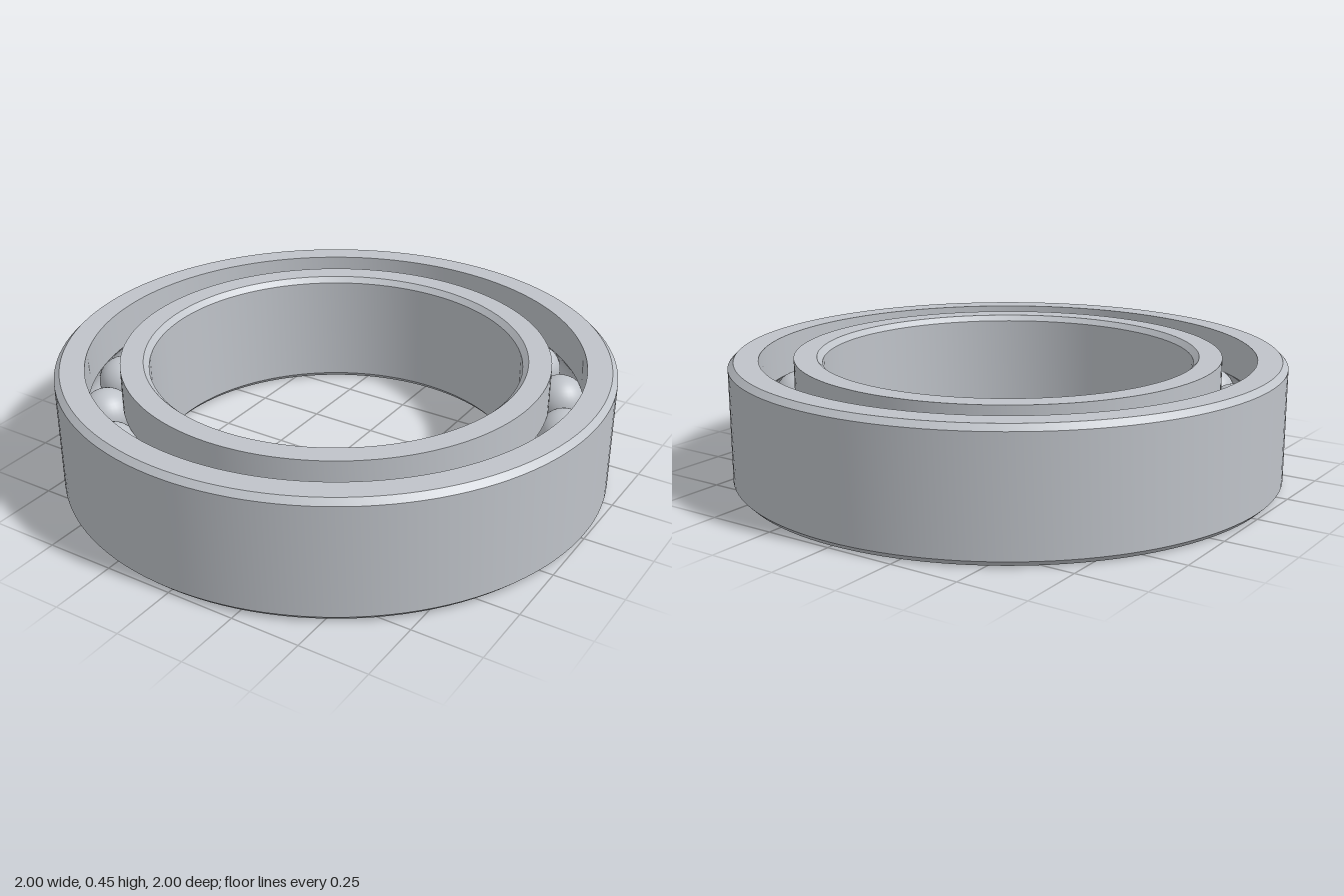
import * as THREE from 'three';
import { toCreasedNormals } from 'three/addons/utils/BufferGeometryUtils.js';

const HEIGHT = 0.446, MID = HEIGHT / 2;
const PITCH = 0.832, BALL_R = 0.093, BALLS = 20;
const OUTER_R = 1, OUTER_SHOULDER = 0.893, INNER_SHOULDER = 0.77, BORE_R = 0.668;
const CHAMFER = 0.02;

// Revolves a closed counterclockwise profile with crisp edges
function ring(name, points, material) {
  const profile = [...points, points[0]].map(([x, y]) => new THREE.Vector2(x, y));
  const geometry = toCreasedNormals(new THREE.LatheGeometry(profile, 128), 0.5);
  const mesh = new THREE.Mesh(geometry, material);
  mesh.name = name;
  return mesh;
}

// Rounded ball track, cut into the shoulder at the given radius
function groove(shoulder) {
  const r = BALL_R + 0.001, side = Math.sign(shoulder - PITCH), steps = 12;
  const half = Math.acos(Math.abs(shoulder - PITCH) / r);
  return Array.from({ length: steps + 1 }, (_, i) => {
    const a = side * half * (1 - (2 * i) / steps);
    return [PITCH + side * r * Math.cos(a), MID + r * Math.sin(a)];
  });
}

export function createModel() {
  const model = new THREE.Group();
  model.name = 'ballBearing';
  const steel = new THREE.MeshStandardMaterial({ color: 0xbfc3c9 });
  steel.name = 'steel';

  // Outer race: chamfered outside, track on the inside running downwards
  model.add(ring('outerRace', [
    [OUTER_SHOULDER, 0], [OUTER_R - CHAMFER, 0], [OUTER_R, CHAMFER],
    [OUTER_R, HEIGHT - CHAMFER], [OUTER_R - CHAMFER, HEIGHT], [OUTER_SHOULDER, HEIGHT],
    ...groove(OUTER_SHOULDER),
  ], steel));

  // Inner race: chamfered bore, track on the outside running upwards
  model.add(ring('innerRace', [
    [INNER_SHOULDER, 0], ...groove(INNER_SHOULDER), [INNER_SHOULDER, HEIGHT],
    [BORE_R + CHAMFER, HEIGHT], [BORE_R, HEIGHT - CHAMFER],
    [BORE_R, CHAMFER], [BORE_R + CHAMFER, 0],
  ], steel));

  // Evenly spaced balls in the track
  const balls = new THREE.Group();
  balls.name = 'balls';
  const ballGeometry = new THREE.SphereGeometry(BALL_R, 32, 20);
  for (let i = 0; i < BALLS; i++) {
    const a = (i / BALLS) * Math.PI * 2;
    const ball = new THREE.Mesh(ballGeometry, steel);
    ball.name = 'ball';
    ball.position.set(PITCH * Math.sin(a), MID, PITCH * Math.cos(a));
    balls.add(ball);
  }
  model.add(balls);
  return model;
}
